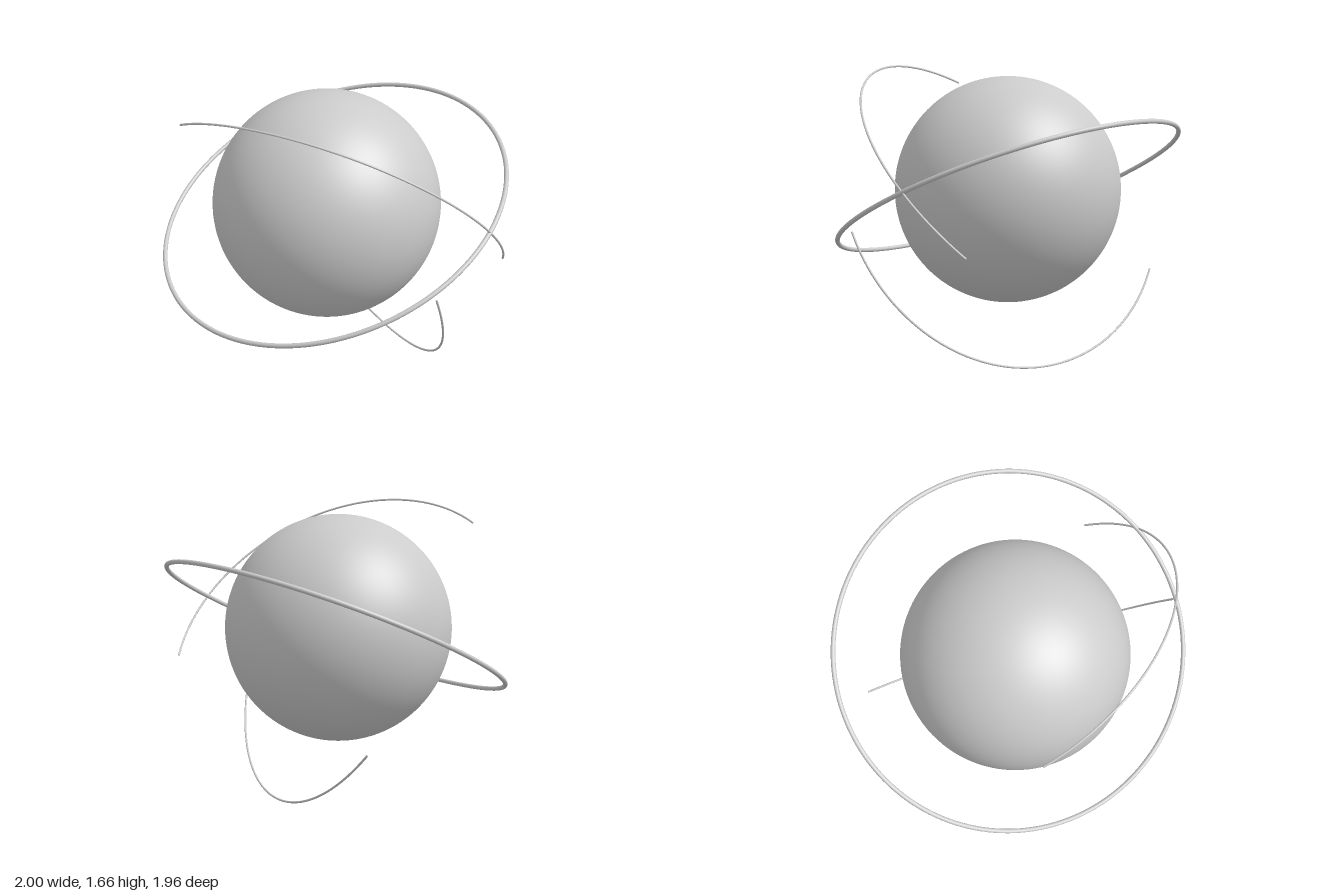
import * as THREE from 'three';

const material = new THREE.MeshStandardMaterial({ color: 0xcccccc });
const orbitCentre = new THREE.Vector3(0, 0.953, 0);

function addMesh(parent, name, geometry) {
  const mesh = new THREE.Mesh(geometry, material);
  mesh.name = name;
  parent.add(mesh);
  return mesh;
}

// Circular arc about the orbit centre, joining two directions the short way round
class OrbitArc extends THREE.Curve {
  constructor(from, to, radius) {
    super();
    this.u = from.clone().normalize();
    const end = to.clone().normalize();
    this.angle = this.u.angleTo(end);
    this.v = end.addScaledVector(this.u, -this.u.dot(end)).normalize();
    this.radius = radius;
  }
  getPoint(t, target = new THREE.Vector3()) {
    const a = t * this.angle;
    return target.copy(this.u).multiplyScalar(Math.cos(a) * this.radius)
      .addScaledVector(this.v, Math.sin(a) * this.radius);
  }
}

// Thin wire with rounded-off ends
function addWire(parent, name, from, to) {
  const r = 0.006;
  const wire = new THREE.Group();
  wire.name = name;
  wire.position.copy(orbitCentre);
  const curve = new OrbitArc(from, to, 1.029);
  addMesh(wire, 'wire', new THREE.TubeGeometry(curve, 96, r, 10));
  for (const t of [0, 1]) {
    addMesh(wire, 'wireEnd', new THREE.SphereGeometry(r, 10, 8)).position.copy(curve.getPoint(t));
  }
  parent.add(wire);
}

export function createModel() {
  const group = new THREE.Group();
  group.name = 'ringedPlanet';

  // Planet
  addMesh(group, 'planet', new THREE.SphereGeometry(0.652, 96, 64)).position.set(-0.018, 0.957, 0.01);

  // Full tilted ring
  const ring = addMesh(group, 'ring', new THREE.TorusGeometry(1.024, 0.013, 16, 160));
  ring.position.copy(orbitCentre);
  ring.quaternion.setFromUnitVectors(
    new THREE.Vector3(0, 0, 1),
    new THREE.Vector3(-0.276, 0.903, 0.328).normalize());

  // Partial orbits above and below
  addWire(group, 'upperOrbit', new THREE.Vector3(-0.75, 0.592, 0.375), new THREE.Vector3(1, -0.218, 0.155));
  addWire(group, 'lowerOrbit', new THREE.Vector3(0.64, -0.148, 0.79), new THREE.Vector3(-0.32, -0.518, -0.835));

  return group;
}
